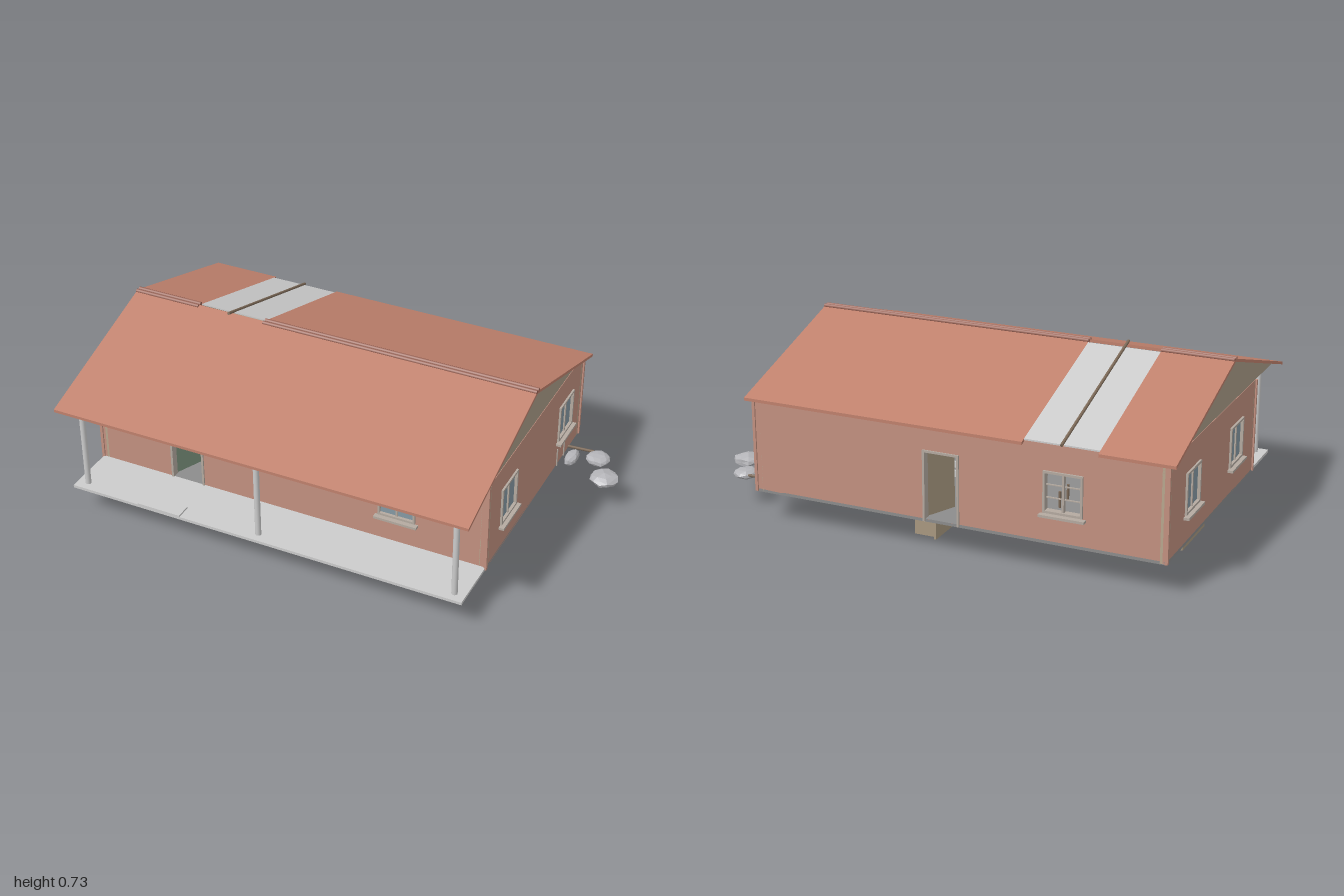
import * as THREE from 'three';

const mat = (color, side = THREE.FrontSide, flatShading = false) =>
  new THREE.MeshStandardMaterial({ color, side, flatShading });
const M = {
  wall: mat(0xc29080), roof: mat(0xc0816d), ridge: mat(0x9a6456), gable: mat(0xaa9b87, THREE.DoubleSide),
  lining: mat(0xb8a78e), grey: mat(0xcccccc), dark: mat(0x8c8c8c), frame: mat(0xb4aaa0), glass: mat(0x8599a3),
  wood: mat(0xa89880), brown: mat(0x7d6a58), green: mat(0x7a917c), yellow: mat(0xb39a55),
  rock: mat(0xb4b4b8, THREE.FrontSide, true),
};

const X0 = -0.97, X1 = 0.72, ZB = -0.63, ZF = 0.385, FLOOR = 0.125, EAVE = 0.51;
const RIDGE = 0.712, HALF = 0.65, SLOPE = (RIDGE - EAVE) / HALF;

// Box given by its min and max along each axis
function box(parent, name, material, [x0, x1], [y0, y1], [z0, z1]) {
  const m = new THREE.Mesh(new THREE.BoxGeometry(x1 - x0, y1 - y0, z1 - z0), material);
  m.position.set((x0 + x1) / 2, (y0 + y1) / 2, (z0 + z1) / 2);
  m.name = name;
  parent.add(m);
  return m;
}

function rod(parent, name, material, a, b, r, sides = 10) {
  const p = new THREE.Vector3(...a), q = new THREE.Vector3(...b);
  const m = new THREE.Mesh(new THREE.CylinderGeometry(r, r, p.distanceTo(q), sides), material);
  m.position.copy(p).add(q).multiplyScalar(0.5);
  m.quaternion.setFromUnitVectors(new THREE.Vector3(0, 1, 0), q.sub(p).normalize());
  m.name = name;
  parent.add(m);
}

// Window in local space: centred on x = 0, outward is +z
function windowUnit(parent, x, glazed) {
  const g = new THREE.Group();
  g.name = 'window';
  g.position.x = x;
  const w = 0.078, y0 = 0.245, y1 = 0.408, t = 0.009, d = [-0.02, 0.008];
  for (const s of [-1, 1]) box(g, 'windowJamb', M.frame, s < 0 ? [-w, -w + t] : [w - t, w], [y0, y1], d);
  box(g, 'windowHead', M.frame, [-w, w], [y1 - t, y1], d);
  box(g, 'windowBottomRail', M.frame, [-w, w], [y0, y0 + t], d);
  box(g, 'windowMullion', M.frame, [-0.004, 0.004], [y0, y1], [-0.014, 0.002]);
  if (glazed) box(g, 'windowGlass', M.glass, [-w + t, w - t], [y0 + t, y1 - t], [-0.01, -0.004]);
  else for (const y of [0.3, 0.35]) box(g, 'windowBar', M.frame, [-w, w], [y, y + 0.004], [-0.012, -0.006]);
  box(g, 'windowSill', M.frame, [-0.09, 0.09], [0.231, 0.241], [-0.02, 0.022]);
  parent.add(g);
}

// Door frame in local space with a leaf swung inward
function doorUnit(parent, x, leaf) {
  const g = new THREE.Group();
  g.name = 'door';
  g.position.x = x;
  const w = 0.075, top = 0.41, t = 0.009, d = [-0.028, 0.006];
  box(g, 'doorJamb', M.frame, [-w, -w + t], [FLOOR, top], d);
  box(g, 'doorJamb', M.frame, [w - t, w], [FLOOR, top], d);
  box(g, 'doorHead', M.frame, [-w, w], [top - t, top], d);
  const hinge = new THREE.Group();
  hinge.position.set(-w + t, 0, -0.025);
  hinge.rotation.y = 1.15;
  box(hinge, 'doorLeaf', leaf, [0, 0.13], [0.137, top - t], [-0.01, 0]);
  g.add(hinge);
  parent.add(g);
}

// Wall panel with openings; local +z is the outside
function wall(parent, name, pos, rotY, width, windows, door, glazed = true) {
  const g = new THREE.Group();
  g.name = name;
  const s = new THREE.Shape();
  const rect = (p, x0, x1, y0, y1) => p.moveTo(x0, y0).lineTo(x1, y0).lineTo(x1, y1).lineTo(x0, y1).closePath();
  rect(s, -width / 2, width / 2, FLOOR, EAVE);
  const holes = windows.map(x => [x - 0.075, x + 0.075, 0.24, 0.405]);
  if (door) holes.push([door.x - 0.072, door.x + 0.072, FLOOR + 0.008, 0.407]);
  for (const h of holes) {
    const p = new THREE.Path();
    rect(p, ...h);
    s.holes.push(p);
  }
  for (const [n, m, depth, z] of [['wallFace', M.wall, 0.016, -0.016], ['wallLining', M.lining, 0.01, -0.026]]) {
    const mesh = new THREE.Mesh(new THREE.ExtrudeGeometry(s, { depth, bevelEnabled: false }), m);
    mesh.position.z = z;
    mesh.name = n;
    g.add(mesh);
  }
  windows.forEach(x => windowUnit(g, x, glazed));
  if (door) doorUnit(g, door.x, door.leaf);
  g.position.set(...pos);
  g.rotation.y = rotY;
  parent.add(g);
}

// Sloping roof slab between two x values; z runs from the ridge outwards
function roofSlab(parent, name, material, x0, x1, side, zIn, zOut, t = 0.012) {
  const s = new THREE.Shape();
  const y = z => RIDGE - SLOPE * z;
  s.moveTo(side * zIn, y(zIn)).lineTo(side * zOut, y(zOut));
  s.lineTo(side * zOut, y(zOut) - t).lineTo(side * zIn, y(zIn) - t).closePath();
  const m = new THREE.Mesh(new THREE.ExtrudeGeometry(s, { depth: x1 - x0, bevelEnabled: false }), material);
  m.rotation.y = -Math.PI / 2; // shape x becomes world z, depth runs toward -x
  m.position.x = x1;
  m.name = name;
  parent.add(m);
}

function rock(parent, x, y, z, sx, sy, sz, seed) {
  const geo = new THREE.IcosahedronGeometry(1, 1);
  const p = geo.attributes.position, v = new THREE.Vector3();
  for (let i = 0; i < p.count; i++) {
    v.fromBufferAttribute(p, i);
    v.multiplyScalar(0.9 + 0.14 * Math.sin(v.x * 5 + seed) * Math.cos(v.y * 4 + v.z * 6 + seed * 2));
    p.setXYZ(i, v.x, v.y, v.z);
  }
  geo.computeVertexNormals();
  const m = new THREE.Mesh(geo, M.rock);
  m.scale.set(sx, sy, sz);
  m.position.set(x, y, z);
  m.name = 'rock';
  parent.add(m);
}

export function createModel() {
  const house = new THREE.Group();
  house.name = 'house';
  const cx = (X0 + X1) / 2, cz = (ZF + ZB) / 2, H = Math.PI / 2;

  // Floor, porch and step
  box(house, 'floorSlab', M.dark, [X0, X1], [0.122, 0.134], [ZB, ZF]);
  box(house, 'porchFloor', M.grey, [X0, X1], [0.122, 0.134], [ZF, 0.615]);
  box(house, 'doorMat', M.grey, [-0.67, -0.48], [0.134, 0.141], [0.55, 0.617]);
  for (const x of [-0.925, -0.15, 0.675]) rod(house, 'porchColumn', M.grey, [x, 0.13, 0.575], [x, 0.522, 0.575], 0.012, 16);

  // Walls
  wall(house, 'frontWall', [cx, 0, ZF], 0, X1 - X0, [0.35 - cx], { x: -0.57 - cx, leaf: M.green });
  wall(house, 'backWall', [cx, 0, ZB], Math.PI, X1 - X0, [cx + 0.57], { x: cx + 0.08, leaf: M.wood }, false);
  wall(house, 'leftWall', [X1, 0, cz], H, ZF - ZB, [cz - 0.175, cz + 0.44], null);
  wall(house, 'rightWall', [X0, 0, cz], -H, ZF - ZB, [-0.37 - cz, 0.145 - cz], null);
  for (const x of [X0, X1]) for (const z of [ZB, ZF])
    box(house, 'cornerTrim', M.wall, [x - 0.006, x + 0.006], [FLOOR, EAVE], [z - 0.006, z + 0.006]);

  // Gables
  const tri = new THREE.Shape();
  tri.moveTo(ZB, EAVE).lineTo(0.61, EAVE).lineTo(0, RIDGE - 0.012).closePath();
  for (const x of [X0 + 0.014, X1 - 0.002]) {
    const g = new THREE.Mesh(new THREE.ExtrudeGeometry(tri, { depth: 0.012, bevelEnabled: false }), M.gable);
    g.rotation.y = -H;
    g.position.x = x;
    g.name = 'gable';
    house.add(g);
  }

  // Roof with a strip of light panels on the back slope
  roofSlab(house, 'frontRoof', M.roof, -1, 0.75, 1, 0, HALF);
  roofSlab(house, 'backRoof', M.roof, -1, -0.71, -1, 0, HALF);
  roofSlab(house, 'backRoof', M.roof, -0.415, 0.75, -1, 0, HALF);
  roofSlab(house, 'lightPanel', M.grey, -0.71, -0.57, -1, 0.02, 0.63, 0.006);
  roofSlab(house, 'lightPanel', M.grey, -0.56, -0.415, -1, 0.02, 0.63, 0.006);
  rod(house, 'panelBar', M.brown, [-0.565, RIDGE + 0.008, 0.02], [-0.565, RIDGE - SLOPE * 0.64 + 0.003, -0.64], 0.006);
  for (const z of [-0.012, 0.008])
    for (const [a, b] of [[-1, -0.71], [-0.415, 0.75]]) rod(house, 'ridgeTile', M.ridge, [a, 0.71, z], [b, 0.71, z], 0.008, 8);

  // Furniture standing partly below the floor
  const f = new THREE.Group();
  f.name = 'furniture';
  house.add(f);
  for (const [z0, z1] of [[0.1, 0.25], [-0.515, -0.36]]) {
    box(f, 'cupboardBack', M.wood, [0, 0.01], [0, 0.24], [z0, z1]);
    box(f, 'cupboardSide', M.wood, [0, 0.09], [0, 0.24], [z1 - 0.01, z1]);
    box(f, 'cupboardSide', M.wood, [0, 0.09], [0.01, 0.24], [z0, z0 + 0.01]);
    box(f, 'cupboardFront', M.wood, [0.08, 0.09], [0.01, 0.24], [z0, z1]);
    box(f, 'cupboardShelf', M.wood, [0, 0.09], [0.11, 0.12], [z0, z1]);
  }
  for (const x of [-0.055, 0.14]) box(f, 'tubEnd', M.grey, [x, x + 0.01], [0.095, 0.16], [-0.2, -0.1]);
  for (const z of [-0.2, -0.11]) box(f, 'tubSide', M.grey, [-0.055, 0.15], [0.095, 0.16], [z, z + 0.01]);
  box(f, 'counter', M.wood, [-0.945, -0.87], [0.075, 0.22], [-0.38, -0.13]);
  box(f, 'bench', M.wood, [-0.26, -0.2], [0.1, 0.17], [0.09, 0.24]);
  box(f, 'bed', M.green, [-0.95, -0.8], [0.118, 0.2], [0.14, 0.35]);
  box(f, 'lowTable', M.yellow, [-0.6, -0.5], [0.114, 0.21], [-0.06, 0.04]);
  box(f, 'rug', M.brown, [0.44, 0.64], [0.117, 0.14], [0.11, 0.25]);
  box(f, 'smallStool', M.wood, [0.63, 0.69], [0.1, 0.16], [0.27, 0.33]);
  box(f, 'smallBasin', M.grey, [0.62, 0.68], [0.105, 0.16], [-0.14, -0.09]);
  for (const [x, y] of [[-0.58, 0.035], [-0.53, 0.075], [-0.43, 0.035]])
    for (const z of [-0.24, -0.32]) rod(f, 'chairLeg', M.brown, [x, y, z], [x, 0.2, z], 0.005, 6);

  // Rocks and sticks beside the left wall
  rock(house, 0.93, 0.13, -0.36, 0.066, 0.027, 0.066, 1);
  rock(house, 0.86, 0.125, -0.49, 0.056, 0.024, 0.056, 2.4);
  rock(house, 0.76, 0.125, -0.45, 0.03, 0.027, 0.06, 4);
  rod(house, 'stick', M.brown, [0.7, 0.13, -0.51], [0.83, 0.13, -0.52], 0.006, 6);
  for (const z of [-0.36, -0.44]) rod(house, 'stake', M.frame, [0.726, 0.13, z], [0.726, 0.21, z], 0.003, 6);
  return house;
}
